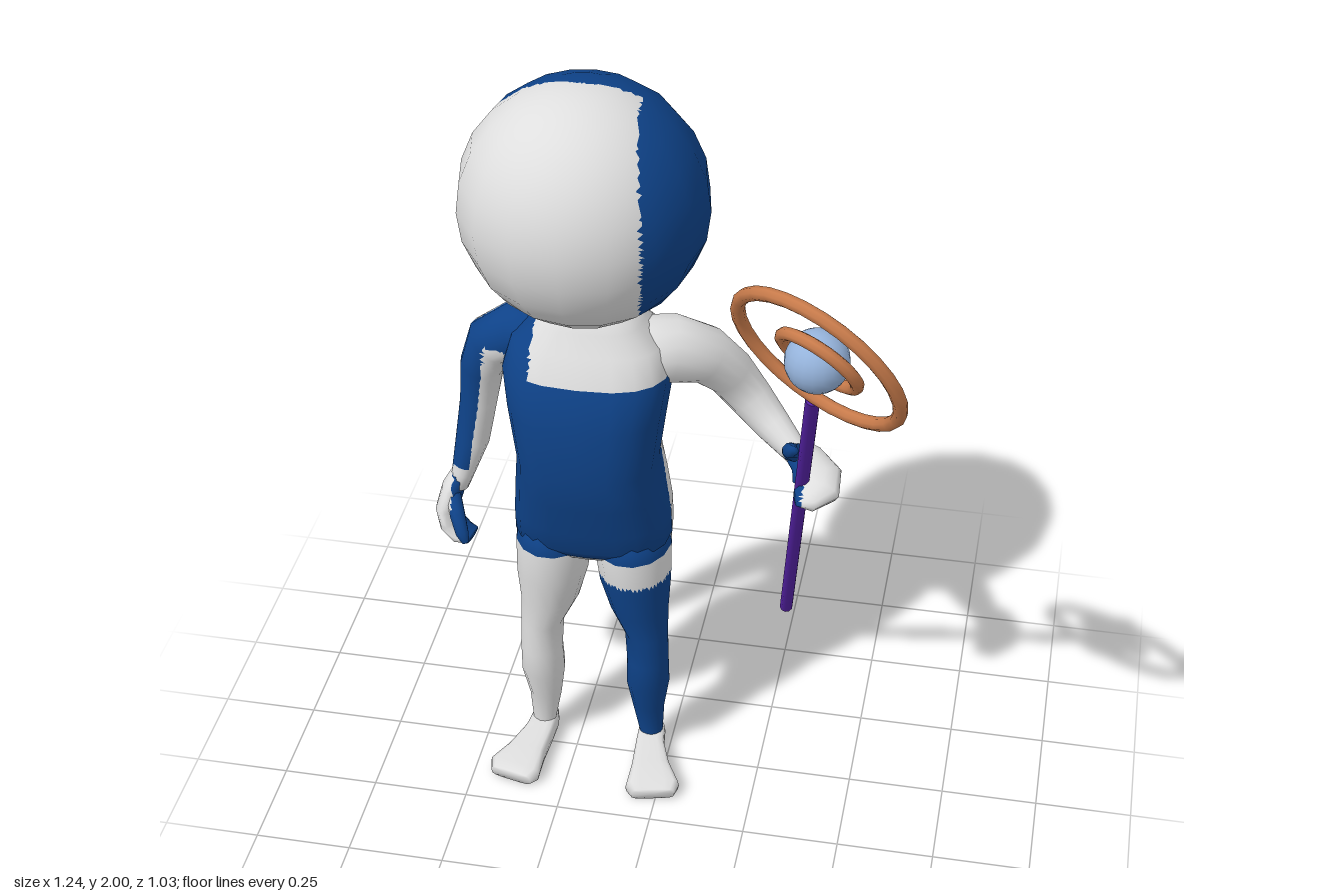
import * as THREE from 'three';

const mat = (name, color, extra) => Object.assign(new THREE.MeshStandardMaterial({ color }), { name });
const white = mat('white', 0xdedede);
const blue = mat('blue', 0x0e4288);
const purple = mat('purple', 0x5522a5);
const bronze = mat('bronze', 0xc87b4b);
const paleBlue = mat('pale blue', 0x96b4dc);

const V = (x, y, z) => new THREE.Vector3(x, y, z);

// Closed skin over elliptical rings [x, y, z, halfU, halfV].
// ref 'flat' keeps rings horizontal, otherwise they turn with the path.
function loft(rings, { n = 14, pow = 1, ref = V(0, 0, 1) } = {}) {
  const centres = rings.map(r => V(r[0], r[1], r[2]));
  const pos = [], idx = [], last = rings.length - 1;
  rings.forEach((r, i) => {
    const t = ref === 'flat' ? V(0, 1, 0)
      : centres[Math.min(i + 1, last)].clone().sub(centres[Math.max(i - 1, 0)]).normalize();
    const u = t.clone().cross(ref === 'flat' ? V(0, 0, 1) : ref).normalize();
    const v = u.clone().cross(t);
    for (let j = 0; j < n; j++) {
      const a = j / n * Math.PI * 2, c = Math.cos(a), s = Math.sin(a);
      const p = centres[i].clone()
        .addScaledVector(u, r[3] * Math.sign(c) * Math.abs(c) ** pow)
        .addScaledVector(v, r[4] * Math.sign(s) * Math.abs(s) ** pow);
      pos.push(p.x, p.y, p.z);
    }
  });
  pos.push(...centres[0].toArray(), ...centres[last].toArray());
  const c0 = n * (last + 1), c1 = c0 + 1;
  for (let j = 0; j < n; j++) {
    const k = (j + 1) % n;
    for (let i = 0; i < last; i++) {
      const a = i * n + j, b = i * n + k, c = b + n, d = a + n;
      idx.push(a, d, c, a, c, b);
    }
    idx.push(c0, j, k, c1, last * n + k, last * n + j);
  }
  const g = new THREE.BufferGeometry();
  g.setAttribute('position', new THREE.Float32BufferAttribute(pos, 3));
  g.setIndex(idx);
  g.computeVertexNormals();
  return g;
}

// Splits faces finely, then sorts them into white and blue by a rule on position.
function paint(name, geometry, isBlue) {
  const g = geometry.toNonIndexed(), P = g.attributes.position, N = g.attributes.normal;
  const out = [[], []];
  const mid = (a, b) => ({ p: a.p.clone().lerp(b.p, 0.5), n: a.n.clone().lerp(b.n, 0.5) });
  const split = (a, b, c) => {
    const ab = a.p.distanceTo(b.p), bc = b.p.distanceTo(c.p), ca = c.p.distanceTo(a.p);
    const m = Math.max(ab, bc, ca);
    if (m < 0.018) {
      const q = a.p.clone().add(b.p).add(c.p).divideScalar(3);
      out[isBlue(q) ? 1 : 0].push(a, b, c);
    } else if (m === ab) { const d = mid(a, b); split(a, d, c); split(d, b, c); }
    else if (m === bc) { const d = mid(b, c); split(a, b, d); split(a, d, c); }
    else { const d = mid(c, a); split(a, b, d); split(d, b, c); }
  };
  const vert = i => ({ p: V().fromBufferAttribute(P, i), n: V().fromBufferAttribute(N, i) });
  for (let i = 0; i < P.count; i += 3) split(vert(i), vert(i + 1), vert(i + 2));
  const all = [...out[0], ...out[1]], res = new THREE.BufferGeometry();
  res.setAttribute('position', new THREE.Float32BufferAttribute(all.flatMap(v => v.p.toArray()), 3));
  res.setAttribute('normal', new THREE.Float32BufferAttribute(all.flatMap(v => v.n.normalize().toArray()), 3));
  res.addGroup(0, out[0].length, 0);
  res.addGroup(out[0].length, out[1].length, 1);
  const mesh = new THREE.Mesh(res, [white, blue]);
  mesh.name = name;
  return mesh;
}

export function createModel() {
  const model = new THREE.Group();
  model.name = 'figureWithStaff';
  const add = (name, geometry, material) => {
    const m = new THREE.Mesh(geometry, material);
    m.name = name;
    model.add(m);
    return m;
  };

  // Head: blue on the back and the left side, white face and nape
  const hc = V(-0.205, 1.7, -0.035), hr = 0.304;
  const headGeo = new THREE.SphereGeometry(hr, 16, 12).translate(hc.x, hc.y, hc.z);
  model.add(paint('head', headGeo, p => {
    const d = p.clone().sub(hc).divideScalar(hr);
    const side = d.x > 0.33 + 0.27 * Math.sqrt(Math.max(0, 1 - d.y * d.y));
    const back = d.z < -0.02 - 0.16 * Math.abs(d.x);
    return (side && d.z < 0.85) || (back && d.y > -0.5);
  }));

  // Torso rings: height, half width, front z, back z
  const suit = p => p.z > -0.055 && p.y > 0.7 && p.y < (p.x < -0.325 ? 1.38 : 1.26);
  const torso = [
    [0.69, 0.17, 0.05, -0.15], [0.73, 0.203, 0.08, -0.195], [0.8, 0.201, 0.1, -0.21],
    [0.9, 0.19, 0.13, -0.2], [1.0, 0.178, 0.153, -0.18], [1.15, 0.198, 0.155, -0.195],
    [1.25, 0.212, 0.125, -0.19], [1.33, 0.19, 0.085, -0.17], [1.375, 0.135, 0.05, -0.145],
    [1.44, 0.11, 0.03, -0.12],
  ].map(([y, w, f, b]) => [-0.2, y, (f + b) / 2, w, (f - b) / 2]);
  model.add(paint('torso', loft(torso, { n: 20, pow: 0.75, ref: 'flat' }), suit));

  // Legs and feet, mirrored about the body's centre line
  const leg = [
    [0.02, -0.052, -0.012, -0.078, 0.032], [0.06, -0.052, -0.012, -0.076, 0.032],
    [0.15, -0.058, 0, -0.08, 0.043], [0.25, -0.057, 0.035, -0.095, 0.058],
    [0.33, -0.056, 0.037, -0.086, 0.056], [0.42, -0.06, 0.04, -0.1, 0.057],
    [0.5, -0.08, 0.05, -0.13, 0.077], [0.6, -0.09, 0.07, -0.145, 0.094],
    [0.7, -0.097, 0.078, -0.17, 0.101], [0.78, -0.1, 0.07, -0.16, 0.09],
  ];
  const foot = [
    [-0.055, 0.028, -0.085, 0.027, 0.022], [-0.052, 0.031, -0.06, 0.036, 0.031],
    [-0.047, 0.029, 0.0, 0.039, 0.029], [-0.03, 0.026, 0.08, 0.052, 0.026],
    [-0.012, 0.024, 0.15, 0.072, 0.024], [-0.006, 0.021, 0.176, 0.058, 0.018],
  ];
  for (const side of ['left', 'right']) {
    const mx = x => side === 'left' ? x : -0.4 - x;
    const rings = leg.map(([y, x, f, b, w]) => [mx(x), y, (f + b) / 2, w, (f - b) / 2]);
    model.add(paint(side + 'Leg', loft(rings, { ref: 'flat' }),
      p => suit(p) || (side === 'left' && p.y > 0.055 && p.y < 0.62)));
    add(side + 'Foot', loft(foot.map(([x, ...r]) => [mx(x), ...r]), { pow: 0.5, ref: V(0, 1, 0) }), white);
  }

  // Right arm hanging down, blue along its front and outer side
  const rightArm = loft([
    [-0.30, 1.29, -0.06, 0.075, 0.085], [-0.39, 1.295, -0.065, 0.078, 0.08],
    [-0.455, 1.25, -0.075, 0.068, 0.07], [-0.487, 1.17, -0.085, 0.056, 0.06],
    [-0.503, 1.06, -0.095, 0.048, 0.054], [-0.522, 0.94, -0.085, 0.044, 0.052],
    [-0.548, 0.84, -0.07, 0.03, 0.038], [-0.56, 0.8, -0.065, 0.026, 0.036],
  ]);
  model.add(paint('rightArm', rightArm, p => {
    const ax = -0.48 - (1.25 - p.y) * 0.155;
    if (p.y > 1.27) return p.x < -0.325 && p.z > -0.09;
    return p.y > 0.87 && p.x < ax + 0.015 && p.z + 0.08 - 0.3 * (p.x - ax) > 0;
  }));
  const palm = p => p.x > -0.567 + Math.max(0, 0.72 - p.y) * 0.4;
  model.add(paint('rightHand', loft([
    [-0.55, 0.84, -0.07, 0.026, 0.034], [-0.575, 0.79, -0.065, 0.03, 0.052],
    [-0.59, 0.735, -0.055, 0.03, 0.06], [-0.58, 0.69, -0.045, 0.025, 0.056],
    [-0.55, 0.665, -0.035, 0.019, 0.048], [-0.522, 0.662, -0.03, 0.012, 0.036],
  ], { n: 10 }), palm));
  model.add(paint('rightThumb', loft([
    [-0.57, 0.79, -0.04, 0.02, 0.02], [-0.55, 0.745, 0.0, 0.021, 0.021],
    [-0.535, 0.705, 0.02, 0.018, 0.018], [-0.525, 0.68, 0.025, 0.01, 0.01],
  ], { n: 8 }), palm));

  // Left arm bent at the elbow, hand closed round the staff
  add('leftArm', loft([
    [-0.1, 1.285, -0.05, 0.08, 0.09], [0.0, 1.285, -0.07, 0.086, 0.088],
    [0.075, 1.25, -0.11, 0.073, 0.074], [0.13, 1.175, -0.155, 0.063, 0.062],
    [0.185, 1.095, -0.165, 0.056, 0.052], [0.25, 1.045, -0.125, 0.046, 0.042],
    [0.305, 1.01, -0.085, 0.034, 0.034], [0.33, 0.995, -0.07, 0.032, 0.032],
  ]), white);
  const grip = p => p.x < 0.345 && p.z > -0.075;
  model.add(paint('leftHand', loft([
    [0.3, 1.015, -0.09, 0.03, 0.03], [0.34, 0.99, -0.075, 0.05, 0.035],
    [0.372, 0.965, -0.045, 0.064, 0.036], [0.378, 0.95, -0.005, 0.058, 0.036],
    [0.355, 0.945, 0.025, 0.042, 0.026], [0.33, 0.95, 0.034, 0.026, 0.014],
  ], { n: 10, ref: V(0, 1, 0.2) }), grip));
  model.add(paint('leftThumb', loft([
    [0.32, 1.01, -0.075, 0.024, 0.024], [0.305, 1.03, -0.045, 0.024, 0.024],
    [0.305, 1.055, -0.015, 0.02, 0.02], [0.32, 1.07, 0.005, 0.011, 0.011],
  ], { n: 8 }), grip));

  // Staff
  const low = V(0.25, 0.17, -0.49), high = V(0.387, 1.395, 0.243);
  const dir = high.clone().sub(low);
  const staff = add('staff', new THREE.CylinderGeometry(0.018, 0.018, dir.length(), 10), purple);
  staff.position.copy(low).lerp(high, 0.5);
  staff.quaternion.setFromUnitVectors(V(0, 1, 0), dir.normalize());

  // Tilted rings and orb at the staff's head
  const ring = (name, r, tube, centre, normal) => {
    const m = add(name, new THREE.TorusGeometry(r, tube, 8, 28), bronze);
    m.position.copy(centre);
    m.quaternion.setFromUnitVectors(V(0, 0, 1), normal.normalize());
  };
  ring('outerRing', 0.219, 0.017, V(0.41, 1.587, 0.365), V(-0.45, -0.45, 0.77));
  ring('innerRing', 0.102, 0.016, V(0.409, 1.565, 0.338), V(-0.45, -0.56, 0.7));
  add('orb', new THREE.SphereGeometry(0.075, 20, 14), paleBlue).position.set(0.404, 1.562, 0.333);

  return model;
}
